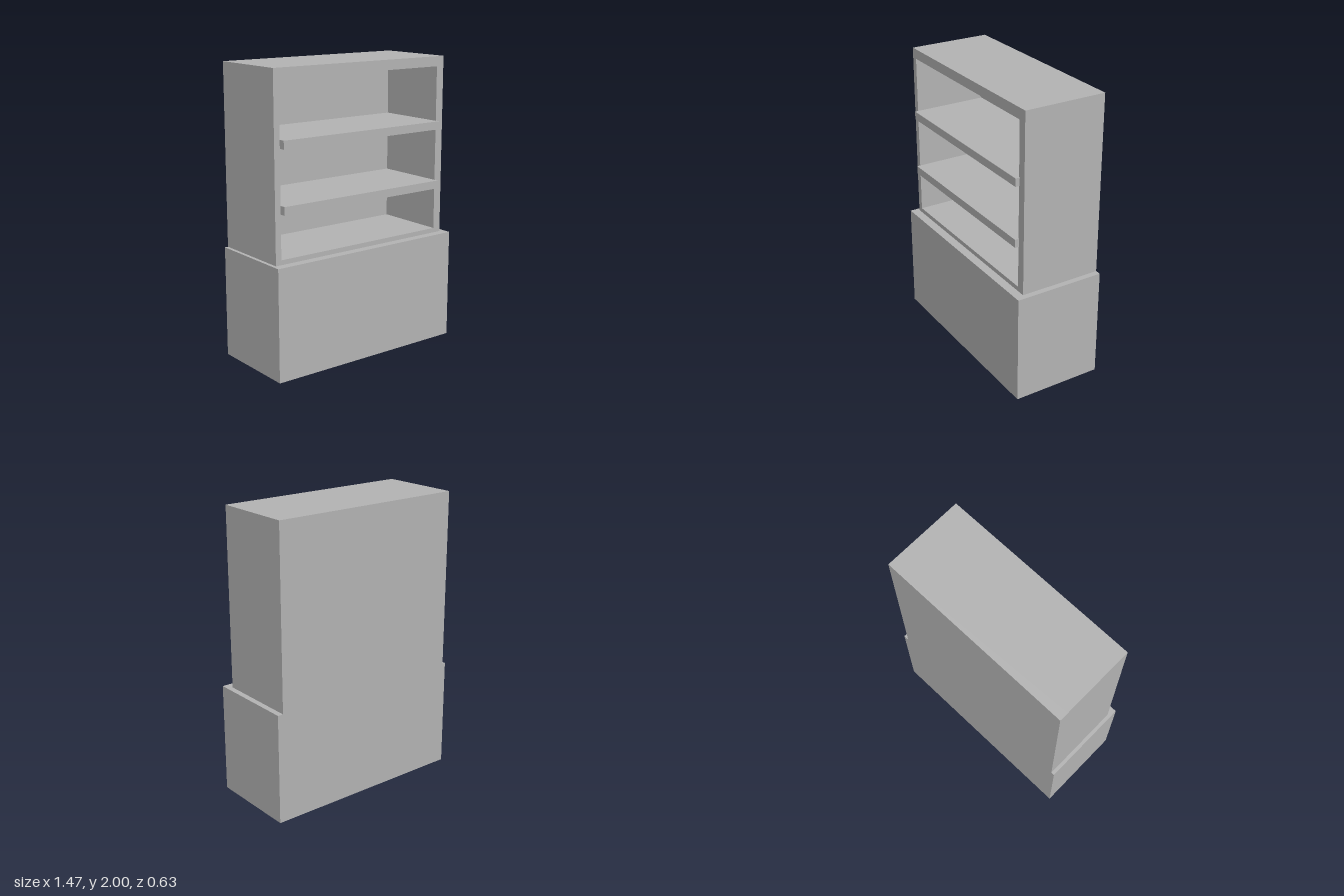
import * as THREE from 'three';

export function createModel() {
  const group = new THREE.Group();
  group.name = 'cabinet';
  const grey = new THREE.MeshStandardMaterial({ color: 0xb2b2b2 });
  grey.name = 'grey';

  const add = (name, geometry) => {
    const mesh = new THREE.Mesh(geometry, grey);
    mesh.name = name;
    group.add(mesh);
    return mesh;
  };
  // Box given by its lower and upper limits
  const box = (name, x0, x1, y0, y1, z0, z1) =>
    add(name, new THREE.BoxGeometry(x1 - x0, y1 - y0, z1 - z0))
      .position.set((x0 + x1) / 2, (y0 + y1) / 2, (z0 + z1) / 2);
  const rectangle = (Type, x0, x1, y0, y1) => new Type([
    new THREE.Vector2(x0, y0), new THREE.Vector2(x1, y0),
    new THREE.Vector2(x1, y1), new THREE.Vector2(x0, y1),
  ]);

  const back = -0.316, recess = -0.253, front = 0.256;

  // Solid lower cabinet
  box('base', -0.733, 0.733, 0, 0.762, back, 0.316);

  // Upper case: open frame closed by a back panel
  const outline = rectangle(THREE.Shape, -0.709, 0.694, 0.762, 2);
  outline.holes.push(rectangle(THREE.Path, -0.667, 0.635, 0.794, 1.932));
  add('upperFrame', new THREE.ExtrudeGeometry(outline, { depth: front - recess, bevelEnabled: false }))
    .position.z = recess;
  box('backPanel', -0.709, 0.694, 0.762, 2, back, recess);

  // Shelves stand slightly proud of the frame
  for (const [name, y] of [['lowerShelf', 1.114], ['upperShelf', 1.53]]) {
    box(name, -0.657, 0.642, y - 0.028, y + 0.028, recess, 0.285);
  }
  return group;
}
